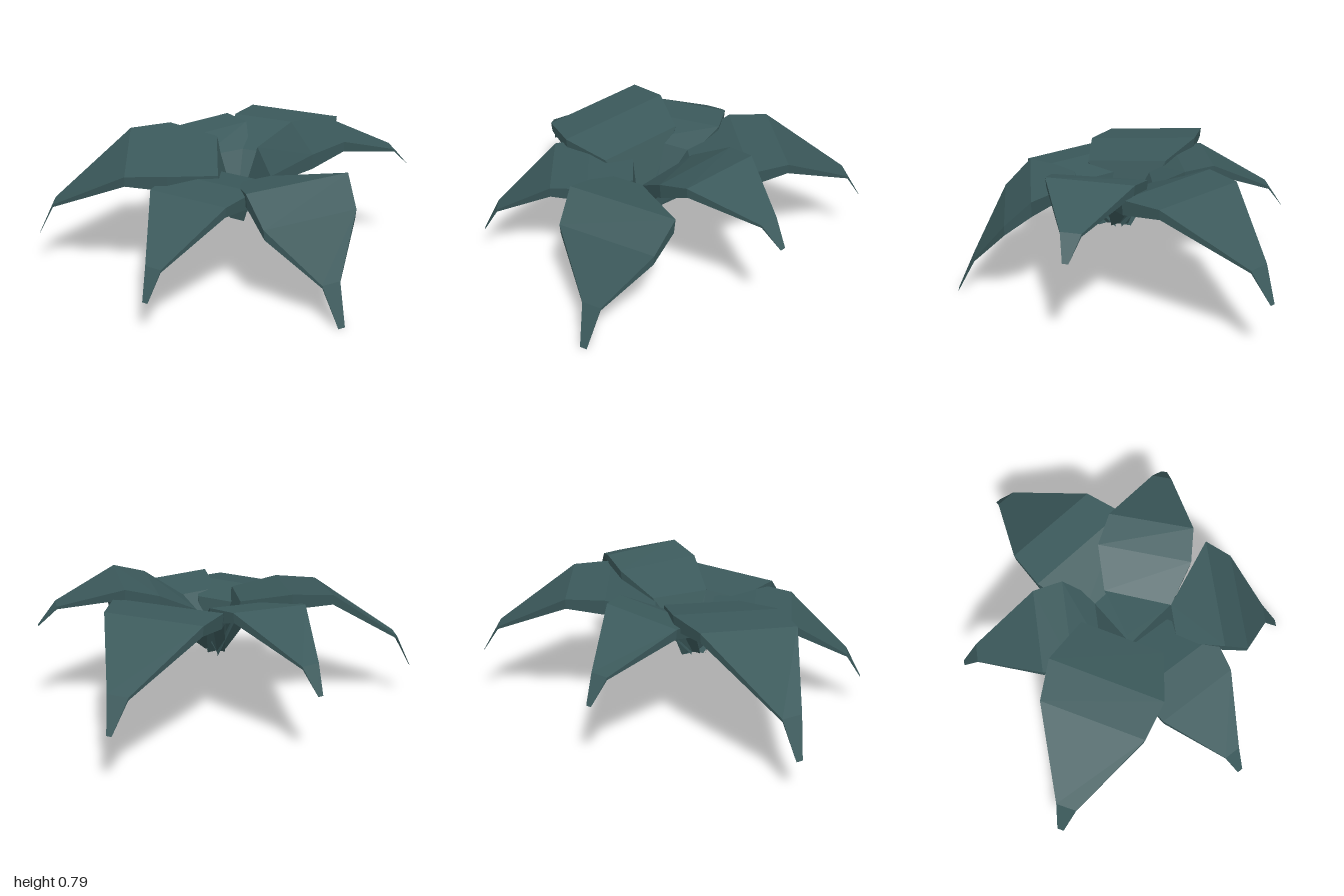
import * as THREE from 'three';

const material = new THREE.MeshStandardMaterial({
  color: 0x3b595b, flatShading: true, side: THREE.DoubleSide,
});

// Thickness of the leaf at each station, foot to tip
const thickness = [0, 0.05, 0.085, 0.055, 0.015, 0];

// Solid folded leaf growing along a heading (degrees from +z towards +x).
// Each station: [distance out, height, half width, sideways shift, roll]
function leaf(name, heading, stations) {
  const h = THREE.MathUtils.degToRad(heading);
  const s = Math.sin(h), c = Math.cos(h);
  // Cross-section loop: lower edge, upper edge, upper edge, lower edge
  const rows = stations.map(([out, y, half, side, roll = 0], i) =>
    [[-1, 1], [-1, 0], [1, 0], [1, 1]].map(([k, lower]) => {
      const drop = lower * thickness[i];
      const across = side + k * (half - 0.1 * drop);
      return [s * out + c * across, y + k * half * roll - drop, c * out - s * across];
    }));
  const points = [];
  for (let i = 0; i < rows.length - 1; i++) {
    for (let j = 0; j < 4; j++) {
      const n = (j + 1) % 4;
      const a = rows[i][j], b = rows[i][n];
      const d = rows[i + 1][j], e = rows[i + 1][n];
      points.push(...a, ...d, ...b, ...b, ...d, ...e);
    }
  }
  const geometry = new THREE.BufferGeometry();
  geometry.setAttribute('position', new THREE.Float32BufferAttribute(points, 3));
  geometry.computeVertexNormals();
  const mesh = new THREE.Mesh(geometry, material);
  mesh.name = name;
  return mesh;
}

export function createModel() {
  const plant = new THREE.Group();
  plant.name = 'leafyPlant';

  // Every leaf: narrow foot, flared stalk, two wide blade folds, neck, tip
  plant.add(
    leaf('frontLeaf', 0, [
      [0.03, 0.32, 0.05, -0.01], [0.25, 0.605, 0.11, -0.04], [0.495, 0.645, 0.31, 0.09],
      [0.64, 0.498, 0.28, 0.08], [0.82, 0.21, 0.055, 0.095], [0.92, 0, 0.02, 0.1],
    ]),
    leaf('frontLeftLeaf', 71.2, [
      [0, 0.32, 0.06, -0.02], [0.147, 0.62, 0.185, -0.03, 0.1], [0.358, 0.745, 0.256, -0.026, 0.03],
      [0.533, 0.79, 0.232, -0.03], [0.877, 0.665, 0.054, -0.03], [0.978, 0.55, 0.016, -0.03],
    ]),
    leaf('backLeftLeaf', 126, [
      [0, 0.33, 0.06, -0.01], [0.197, 0.62, 0.2, -0.07], [0.458, 0.73, 0.31, -0.085],
      [0.669, 0.73, 0.272, -0.066], [1.076, 0.485, 0.057, -0.059], [1.175, 0.32, 0.014, -0.059],
    ]),
    leaf('backLeaf', 180, [
      [0, 0.33, 0.06, 0], [0.16, 0.62, 0.15, -0.02], [0.32, 0.7, 0.245, 0.005, -0.08],
      [0.48, 0.715, 0.225, 0.025, -0.08], [0.83, 0.525, 0.05, 0.03], [0.92, 0.39, 0.015, 0.03],
    ]),
    leaf('backRightLeaf', -117, [
      [0, 0.32, 0.06, 0], [0.107, 0.66, 0.232, 0.01, -0.14], [0.373, 0.705, 0.318, 0.016, -0.14],
      [0.597, 0.69, 0.286, 0.018, -0.14], [1.017, 0.4, 0.056, 0.01], [1.111, 0.205, 0.018, 0],
    ]),
    leaf('frontRightLeaf', -60, [
      [0.08, 0.31, 0.045, 0.05], [0.113, 0.59, 0.17, 0.015], [0.351, 0.625, 0.26, 0.057],
      [0.55, 0.6, 0.231, 0.04], [0.87, 0.345, 0.047, 0.045], [0.954, 0.19, 0.016, 0.05],
    ]),
  );
  return plant;
}
